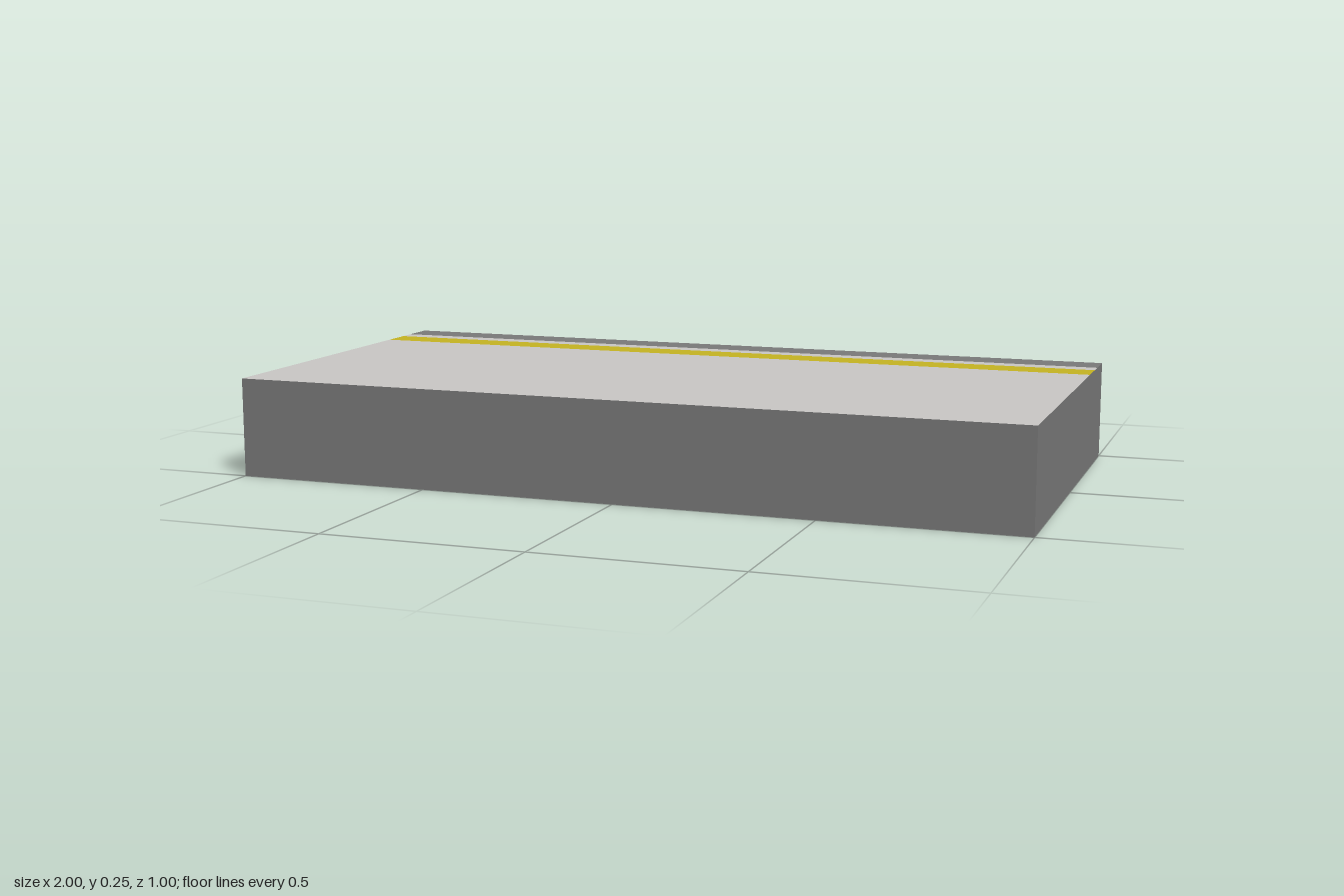
import * as THREE from 'three';

const W = 2, H = 0.25, D = 1;

const makeMaterial = (name, color) => {
  const material = new THREE.MeshStandardMaterial({ color });
  material.name = name;
  return material;
};

export function createModel() {
  const concrete = makeMaterial('dark concrete', 0x797979);
  const paving = makeMaterial('light paving', 0xc9c7c5);
  const yellow = makeMaterial('yellow paint', 0xc4b322);

  const model = new THREE.Group();
  model.name = 'platformSlab';

  const addFace = (name, w, h, material, position, rotation) => {
    const mesh = new THREE.Mesh(new THREE.PlaneGeometry(w, h), material);
    mesh.name = name;
    mesh.position.set(...position);
    mesh.rotation.set(...rotation);
    model.add(mesh);
  };

  // Four concrete walls
  addFace('frontWall', W, H, concrete, [0, H / 2, D / 2], [0, 0, 0]);
  addFace('backWall', W, H, concrete, [0, H / 2, -D / 2], [0, Math.PI, 0]);
  addFace('leftWall', D, H, concrete, [W / 2, H / 2, 0], [0, Math.PI / 2, 0]);
  addFace('rightWall', D, H, concrete, [-W / 2, H / 2, 0], [0, -Math.PI / 2, 0]);

  // Strips running the full width, listed from the back edge to the front
  const addStrips = (side, y, tilt, strips) => {
    let z0 = -D / 2;
    for (const [name, z1, material] of strips) {
      addFace(side + name, W, z1 - z0, material, [0, y, (z0 + z1) / 2], [tilt, 0, 0]);
      z0 = z1;
    }
  };

  // Walking surface with its edge kerb and safety line
  addStrips('top', H, -Math.PI / 2, [
    ['EdgeKerb', -0.41, concrete],
    ['EdgePaving', -0.365, paving],
    ['SafetyLine', -0.28, yellow],
    ['MainPaving', 0.5, paving],
  ]);

  // Underside with a broader yellow band
  addStrips('bottom', 0, Math.PI / 2, [
    ['EdgeKerb', -0.42, concrete],
    ['EdgePaving', -0.375, paving],
    ['YellowBand', 0, yellow],
    ['MainPaving', 0.5, paving],
  ]);

  return model;
}
